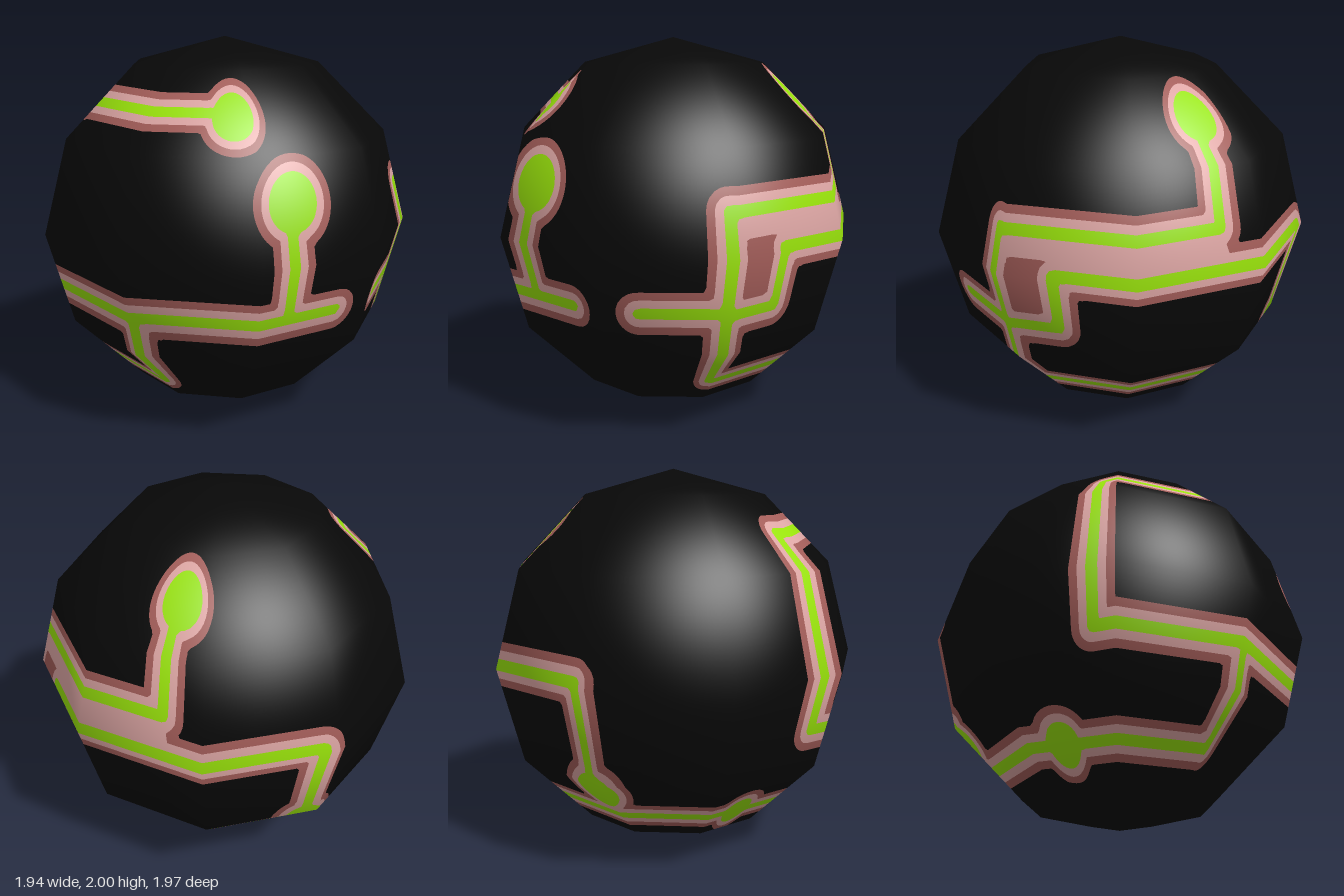
import * as THREE from 'three';

// Faceted ball: 9 sides around, 6 rings from pole to pole (degrees per facet)
const SIDE = 40, RING = 30;
const STEP_A = SIDE / 24, STEP_B = RING / 18;

// Painted traces as [longitude, polar angle] paths in degrees.
// grow > 0 makes a round pad; grow < 0 only fills with the halo colours.
const STROKES = [
  { path: [[12, 106.8], [127, 106.8], [127, 45], [47, 45]] },
  { path: [[47, 46]], grow: 6.5 },
  { path: [[29.5, 106.8], [29.5, 74]] },
  { path: [[28.5, 72.3]], grow: 6.7 },
  { path: [[79, 106.8], [79, 138.8], [144, 138.8]] },
  { path: [[144, 138.8]], grow: 5.5 },
  { path: [[-11, 106.8], [-56, 106.8], [-56, 88.6], [-155.5, 88.6], [-155.5, 125]] },
  { path: [[-155.5, 125]], grow: 6.7 },
  { path: [[-107, 44], [-107, 77], [-37.5, 77], [-37.5, 137.5], [-216, 138.5]] },
  { path: [[-108.5, 43.7]], grow: 6.7 },
  { path: [[-37.5, 82.8], [-107, 82.8]], grow: -2.5 },
  { path: [[-46.7, 88], [-46.7, 99]], grow: -4.35 },
];

// Colour bands by distance from the trace centre line
const BANDS = [
  { name: 'trace', color: 0x99e30b, lo: -Infinity, hi: 1.75 },
  { name: 'innerHalo', color: 0xdda6a4, lo: 1.75, hi: 4.3 },
  { name: 'outerHalo', color: 0xa35d59, lo: 4.3, hi: 6.8 },
  { name: 'ballShell', color: 0x080808, lo: 6.8, hi: Infinity },
];

function segmentDistance(a, b, p, q) {
  const da = q[0] - p[0], db = q[1] - p[1];
  const len2 = da * da + db * db || 1;
  const t = Math.min(1, Math.max(0, ((a - p[0]) * da + (b - p[1]) * db) / len2));
  return Math.hypot(a - p[0] - t * da, b - p[1] - t * db);
}

function traceDistance(a, b) {
  let best = 1e3;
  for (const { path, grow = 0 } of STROKES) {
    for (let i = 0; i < Math.max(1, path.length - 1); i++) {
      const p = path[i], q = path[i + 1] || p;
      for (const turn of [0, -360]) best = Math.min(best, segmentDistance(a + turn, b, p, q) - grow);
    }
  }
  return best;
}

// Point on the flat facet under a longitude and polar angle
function facetPoint(a, b) {
  const i = Math.floor(a / SIDE), j = Math.min(5, Math.floor(b / RING));
  const s = a / SIDE - i, t = b / RING - j;
  const corner = (m, n) => {
    const lon = THREE.MathUtils.degToRad(m * SIDE), pol = THREE.MathUtils.degToRad(n * RING);
    return new THREE.Vector3(Math.sin(pol) * Math.cos(lon), Math.cos(pol), Math.sin(pol) * Math.sin(lon));
  };
  const upper = corner(i, j).lerp(corner(i + 1, j), s);
  const lower = corner(i, j + 1).lerp(corner(i + 1, j + 1), s);
  return upper.lerp(lower, t);
}

// Keep the part of a polygon of [a, b, distance] where sign * (distance - level) >= 0
function clip(poly, level, sign) {
  if (!Number.isFinite(level)) return poly;
  const out = [];
  poly.forEach((p, i) => {
    const q = poly[(i + 1) % poly.length];
    const dp = sign * (p[2] - level), dq = sign * (q[2] - level);
    if (dp >= 0) out.push(p);
    if ((dp > 0 && dq < 0) || (dp < 0 && dq > 0)) {
      const t = dp / (dp - dq);
      out.push(p.map((v, k) => v + (q[k] - v) * t));
    }
  });
  return out;
}

export function createModel() {
  const group = new THREE.Group();
  group.name = 'paintedBall';
  const buffers = BANDS.map(() => ({ position: [], normal: [] }));

  const addTriangle = (tri) => {
    BANDS.forEach((band, k) => {
      const poly = clip(clip(tri, band.lo, 1), band.hi, -1);
      if (poly.length < 3) return;
      const points = poly.map(([a, b]) => facetPoint(a, b));
      for (let i = 1; i < points.length - 1; i++) {
        for (const p of [points[0], points[i], points[i + 1]]) {
          const n = p.clone().normalize();
          buffers[k].position.push(p.x, p.y, p.z);
          buffers[k].normal.push(n.x, n.y, n.z);
        }
      }
    });
  };

  // Walk over the facets in small squares and split them along the band edges
  const countA = Math.round(360 / STEP_A), countB = Math.round(180 / STEP_B);
  const nodes = [];
  for (let i = 0; i <= countA; i++) {
    nodes.push([]);
    for (let j = 0; j <= countB; j++) {
      const a = (i * 360) / countA, b = (j * 180) / countB;
      nodes[i].push([a, b, traceDistance(a, b)]);
    }
  }
  for (let i = 0; i < countA; i++) {
    for (let j = 0; j < countB; j++) {
      const p = nodes[i][j], q = nodes[i + 1][j], r = nodes[i + 1][j + 1], s = nodes[i][j + 1];
      if (j > 0) addTriangle([p, q, r]);
      else addTriangle([p, r, s]);
      if (j > 0 && j < countB - 1) addTriangle([p, r, s]);
    }
  }

  // One mesh per colour
  BANDS.forEach(({ name, color }, k) => {
    const geometry = new THREE.BufferGeometry();
    for (const key of ['position', 'normal']) {
      geometry.setAttribute(key, new THREE.Float32BufferAttribute(buffers[k][key], 3));
    }
    const material = new THREE.MeshStandardMaterial({ color });
    material.name = name + 'Colour';
    const mesh = new THREE.Mesh(geometry, material);
    mesh.name = name;
    group.add(mesh);
  });

  // Stand the ball on the ground, centred on its bounds
  for (const mesh of group.children) mesh.geometry.translate(-0.03, 1, 0);
  return group;
}
